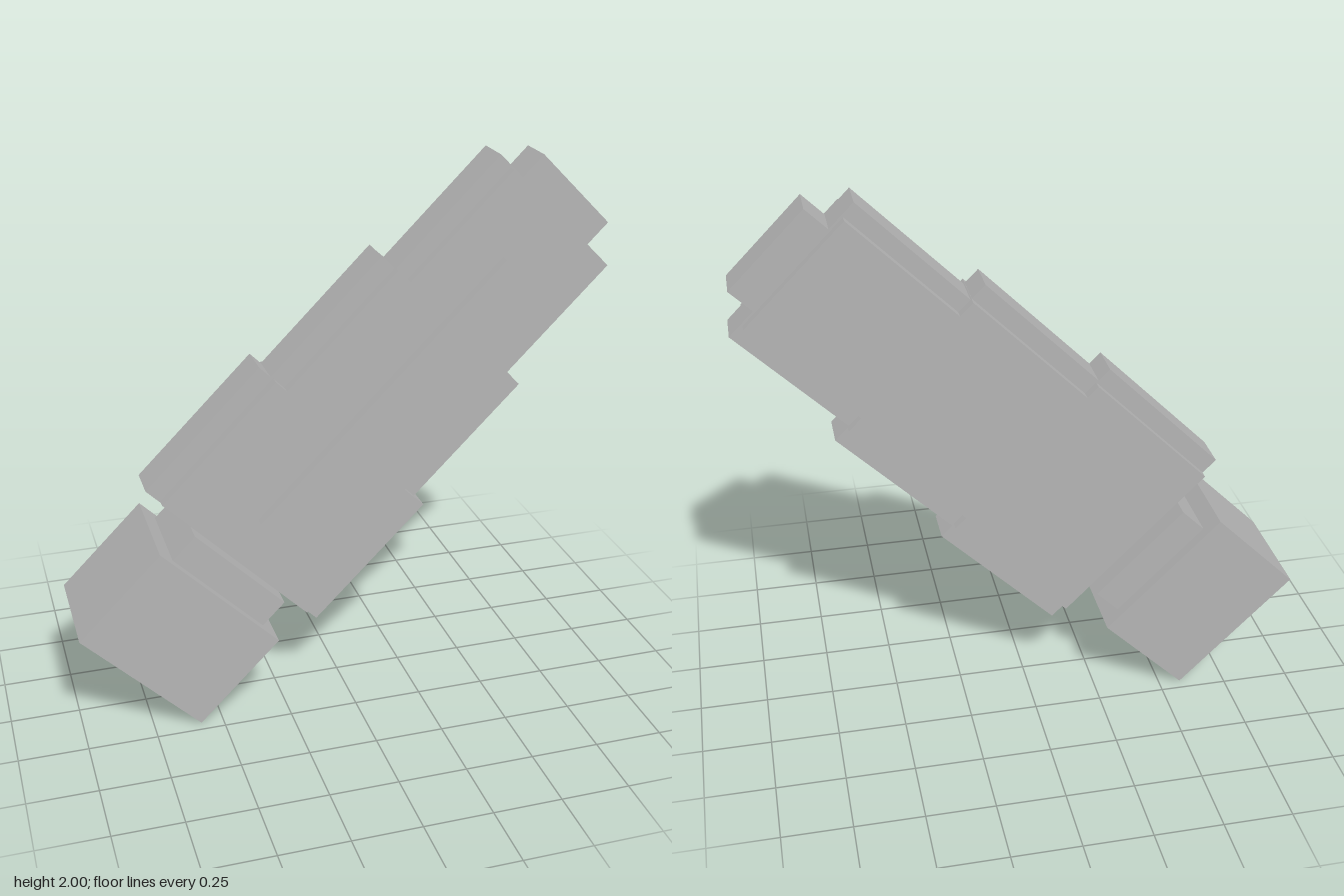
import * as THREE from 'three';

const grey = new THREE.MeshStandardMaterial({ color: 0xb4b4b4 });
grey.name = 'plain grey';

// Box running from u0 to u1 along the long axis, with half width and z range
function block(name, u0, u1, half, z0, z1) {
  const mesh = new THREE.Mesh(new THREE.BoxGeometry(u1 - u0, half * 2, z1 - z0), grey);
  mesh.position.set((u0 + u1) / 2, 0, (z0 + z1) / 2);
  mesh.name = name;
  return mesh;
}

// Slab with a stepped outline, mirrored about the long axis
function steppedSlab(name, ends, halves, depth) {
  const upper = [];
  halves.forEach((h, i) => upper.push([ends[i], h], [ends[i + 1], h]));
  const lower = upper.map(([u, v]) => [u, -v]).reverse();
  const shape = new THREE.Shape([...lower, ...upper].map(([u, v]) => new THREE.Vector2(u, v)));
  const geometry = new THREE.ExtrudeGeometry(shape, { depth, bevelEnabled: false });
  geometry.translate(0, 0, -depth / 2);
  const mesh = new THREE.Mesh(geometry, grey);
  mesh.name = name;
  return mesh;
}

export function createModel() {
  const model = new THREE.Group();
  model.name = 'steppedBlade';

  // Everything is built along x, then tilted 45 degrees
  const tilted = new THREE.Group();
  tilted.name = 'tiltedBody';
  tilted.rotation.z = Math.PI / 4;
  tilted.position.set(-0.5, 0.5, 0);
  model.add(tilted);

  const steps = [0.129, 0.719, 1.286, 1.814];
  tilted.add(
    block('handleBlock', -0.411, 0.012, 0.296, -0.21, 0.21),
    block('collar', 0.012, 0.129, 0.226, -0.17, 0.17),
    steppedSlab('bladeCore', steps, [0.436, 0.379, 0.307], 0.14),
    steppedSlab('bladeBody', [0.132, 0.721, 1.288, 1.806], [0.368, 0.312, 0.247], 0.21),
    block('tip', 1.814, 1.92, 0.186, -0.07, 0.07),
    // Raised rib on the front only
    block('frontRib', 0.3, 1.57, 0.049, 0.1, 0.14)
  );
  return model;
}
